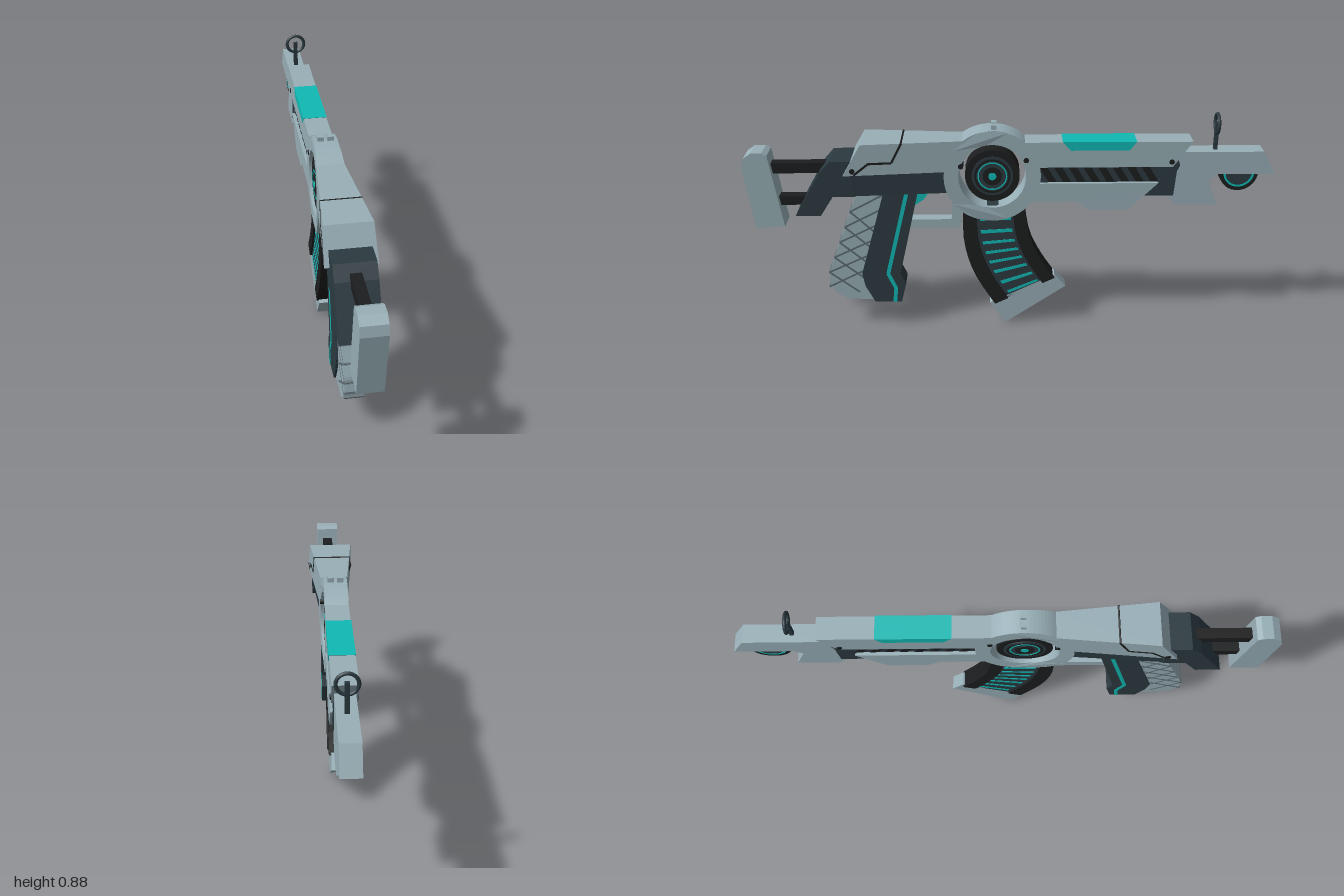
import * as THREE from 'three';

const mat = (name, color) => Object.assign(new THREE.MeshStandardMaterial({ color }), { name });

export function createModel() {
  const root = new THREE.Group();
  root.name = 'rifle';
  const light = mat('light blue grey', 0x98afb7);
  const slate = mat('dark slate', 0x2b3a41);
  const black = mat('near black', 0x1c1d1e);
  const teal = mat('teal', 0x10bab5);
  const grey = mat('groove grey', 0x5d6c72);

  const add = (name, geo, m, parent = root) => {
    const mesh = new THREE.Mesh(geo, m);
    mesh.name = name;
    parent.add(mesh);
    return mesh;
  };
  const group = (name) => {
    const g = new THREE.Group();
    g.name = name;
    root.add(g);
    return g;
  };

  // Side outline in [z, y] extruded along x; w is the half width, or a rule giving it from z
  const slabGeo = (shape, w) => {
    const geo = new THREE.ExtrudeGeometry(shape, { depth: 2, bevelEnabled: false, curveSegments: 40 });
    geo.translate(0, 0, -1).rotateY(-Math.PI / 2);
    const p = geo.attributes.position;
    for (let i = 0; i < p.count; i++) p.setX(i, p.getX(i) * (typeof w === 'function' ? w(p.getZ(i)) : w));
    geo.computeVertexNormals();
    return geo;
  };
  const slab = (name, pts, w, m, parent) =>
    add(name, slabGeo(new THREE.Shape(pts.map(([z, y]) => new THREE.Vector2(z, y))), w), m, parent);

  // Thin inlaid line along a side path
  const line = (name, pts, t, w, m, parent) => {
    for (let i = 0; i < pts.length - 1; i++) {
      const [a, b] = [pts[i], pts[i + 1]];
      const l = Math.hypot(b[0] - a[0], b[1] - a[1]);
      const nz = (-(b[1] - a[1]) / l) * t / 2, ny = ((b[0] - a[0]) / l) * t / 2;
      slab(name, [[a[0] + nz, a[1] + ny], [b[0] + nz, b[1] + ny], [b[0] - nz, b[1] - ny], [a[0] - nz, a[1] - ny]], w, m, parent);
    }
  };
  // Round part across the body
  const disc = (name, z, y, r, w, m, parent) =>
    add(name, new THREE.CylinderGeometry(r, r, w * 2, 36).rotateZ(Math.PI / 2).translate(0, y, z), m, parent);
  // Flat ring, cut through
  const band = (name, z, y, r, inner, w, m, parent) => {
    const s = new THREE.Shape().absarc(z, y, r, 0, Math.PI * 2);
    s.holes.push(new THREE.Path().absarc(z, y, inner, 0, Math.PI * 2, true));
    return add(name, slabGeo(s, w), m, parent);
  };

  // The body widens toward the stock
  const taper = (z) => 0.044 + 0.09 * Math.max(0, z - 0.1);

  // Stock
  slab('buttPlate', [[0.97, 0.44], [1, 0.69], [0.99, 0.725], [0.96, 0.745], [0.92, 0.745], [0.902, 0.735], [0.86, 0.445]], 0.045, light);
  slab('upperStockRod', [[0.91, 0.655], [0.91, 0.695], [0.6, 0.695], [0.6, 0.655]], 0.02, black);
  slab('lowerStockRod', [[0.88, 0.525], [0.88, 0.56], [0.7, 0.56], [0.7, 0.525]], 0.02, black);
  slab('stockBlock', [[0.81, 0.502], [0.71, 0.675], [0.67, 0.72], [0.59, 0.72], [0.58, 0.58], [0.665, 0.58], [0.715, 0.502]], 0.073, slate);

  // Receiver
  slab('rearCover', [[0.62, 0.67], [0.55, 0.79], [0.15, 0.79], [0.19, 0.72], [0.22, 0.67]], taper, light);
  slab('lowerRail', [[0.62, 0.67], [0.21, 0.67], [0.21, 0.58], [0.66, 0.58]], (z) => 0.78 * taper(z), slate);
  line('panelSeam', [[0.58, 0.672], [0.525, 0.715], [0.44, 0.715], [0.4, 0.791]], 0.008, (z) => taper(z) + 0.0015, black);
  for (const [z, y] of [[0.585, 0.688], [0.185, 0.69], [-0.06, 0.71], [-0.605, 0.7]])
    disc('bolt', z, y, 0.01, taper(z) + 0.003, black);

  // Round hub with an open gap around the core
  const HZ = 0.067, HY = 0.645;
  band('hubRing', HZ, HY, 0.182, 0.127, taper, light);
  const core = group('hubCore');
  disc('coreRim', HZ, HY, 0.103, 0.036, black, core);
  disc('coreFace', HZ, HY, 0.078, 0.039, slate, core);
  band('coreGroove', HZ, HY, 0.068, 0.06, 0.0405, black, core);
  band('coreGlowRing', HZ, HY, 0.056, 0.051, 0.0405, teal, core);
  disc('coreCentre', HZ, HY, 0.036, 0.041, black, core);
  disc('coreLight', HZ, HY, 0.015, 0.043, teal, core);
  for (const s of [-1, 1])
    add('rearSight', new THREE.BoxGeometry(0.024, 0.03, 0.02).translate(s * 0.018, 0.828, 0.06), light);

  // Fore-end
  slab('foreCore', [[-0.07, 0.7], [-0.64, 0.7], [-0.64, 0.56], [-0.5, 0.56], [-0.07, 0.59]], 0.03, slate);
  slab('foreCover', [[-0.02, 0.78], [-0.68, 0.78], [-0.61, 0.68], [-0.08, 0.68]], 0.044, light);
  slab('coverInlay', [[-0.195, 0.782], [-0.47, 0.782], [-0.445, 0.748], [-0.225, 0.748]], 0.0455, teal);
  slab('handguard', [[-0.07, 0.615], [-0.56, 0.615], [-0.52, 0.575], [-0.45, 0.505], [-0.3, 0.505], [-0.25, 0.54], [-0.03, 0.54]], 0.044, light);
  const vents = group('vents');
  for (let i = 0; i < 8; i++) {
    const z = -0.11 - i * 0.055;
    slab('vent', [[z, 0.675], [z - 0.03, 0.675], [z - 0.065, 0.617], [z - 0.035, 0.617]], 0.032, black, vents);
  }
  slab('foreBrace', [[-0.56, 0.69], [-0.63, 0.69], [-0.62, 0.56], [-0.5, 0.56], [-0.57, 0.63]], 0.036, slate);

  // Muzzle block, roller and front sight
  slab('muzzle', [[-0.62, 0.735], [-0.95, 0.735], [-1, 0.645], [-0.78, 0.645], [-0.75, 0.62], [-0.79, 0.52],
    [-0.63, 0.52], [-0.59, 0.565], [-0.64, 0.68]], 0.035, light);
  disc('roller', -0.865, 0.648, 0.073, 0.026, black);
  band('rollerGlow', -0.865, 0.648, 0.058, 0.05, 0.0275, teal);
  disc('rollerFace', -0.865, 0.648, 0.048, 0.0275, slate);
  const sight = group('frontSight');
  add('sightRing', new THREE.TorusGeometry(0.036, 0.0065, 8, 28).translate(0, 0.835, -0.772), slate, sight);
  add('sightPost', new THREE.BoxGeometry(0.016, 0.12, 0.014).translate(0, 0.782, -0.772), slate, sight);

  // Grip: light back with cross grooves, dark front with a glowing line
  const grip = group('grip');
  slab('gripBack', [[0.58, 0.58], [0.7, 0.26], [0.71, 0.2], [0.69, 0.15], [0.64, 0.12], [0.5, 0.115], [0.4, 0.58]], 0.034, light, grip);
  slab('gripFront', [[0.48, 0.58], [0.35, 0.58], [0.43, 0.235], [0.41, 0.19], [0.43, 0.11], [0.535, 0.11], [0.57, 0.18], [0.58, 0.235]], 0.042, slate, grip);
  line('gripGlow', [[0.392, 0.58], [0.478, 0.235], [0.45, 0.17], [0.457, 0.109]], 0.015, 0.0435, teal, grip);
  const rear = (y) => 0.581 + (0.58 - y) * 0.375;
  const fore = (y) => 0.47 + (0.58 - y) * 0.29;
  for (let i = 0; i < 6; i++) {
    const y = 0.5 - i * 0.065;
    if (y > 0.22) line('gripGroove', [[rear(y), y], [fore(y - 0.09), y - 0.09]], 0.007, 0.0352, grey, grip);
    line('gripGroove', [[rear(y) - (y < 0.22 ? 0.02 : 0), y], [fore(y + 0.075), y + 0.075]], 0.007, 0.0352, grey, grip);
  }

  // Trigger and guard
  slab('triggerGuard', [[0.4, 0.46], [0.4, 0.425], [0.19, 0.425], [0.18, 0.58], [0.215, 0.58], [0.225, 0.46]], 0.022, light);
  slab('trigger', [[0.38, 0.585], [0.3, 0.585], [0.33, 0.54], [0.39, 0.5]], 0.015, teal);

  // Curved magazine, laid out between a rear and a front curve
  const spline = (pts) => new THREE.SplineCurve(pts.map(([z, y]) => new THREE.Vector2(z, y)));
  const back = spline([[0.18, 0.52], [0.178, 0.37], [0.14, 0.23], [0.06, 0.09]]);
  const front = spline([[-0.055, 0.52], [-0.075, 0.39], [-0.12, 0.29], [-0.175, 0.205]]);
  const at = (u, t) => back.getPoint(t).lerp(front.getPoint(t), u).toArray();
  const strip = (name, u0, u1, t0, t1, n, w, m, parent) => {
    const pts = [];
    for (let i = 0; i <= n; i++) pts.push(at(u0, t0 + (t1 - t0) * i / n));
    for (let i = n; i >= 0; i--) pts.push(at(u1, t0 + (t1 - t0) * i / n));
    slab(name, pts, w, m, parent);
  };
  const mag = group('magazine');
  strip('magazineRearRail', 0, 0.22, 0, 1, 10, 0.034, black, mag);
  strip('magazineFrontRail', 0.8, 1, 0, 1, 10, 0.034, black, mag);
  strip('magazinePanel', 0.2, 0.82, 0, 1, 10, 0.026, slate, mag);
  for (let i = 0; i < 8; i++) {
    const t = 0.14 + i * 0.11;
    strip('magazineGlow', 0.27, 0.76, t, t + 0.03, 1, 0.0275, teal, mag);
  }
  slab('magazineBase', [[0.08, 0.092], [-0.175, 0.217], [-0.22, 0.165], [0.02, 0]], 0.026, light, mag);

  return root;
}
